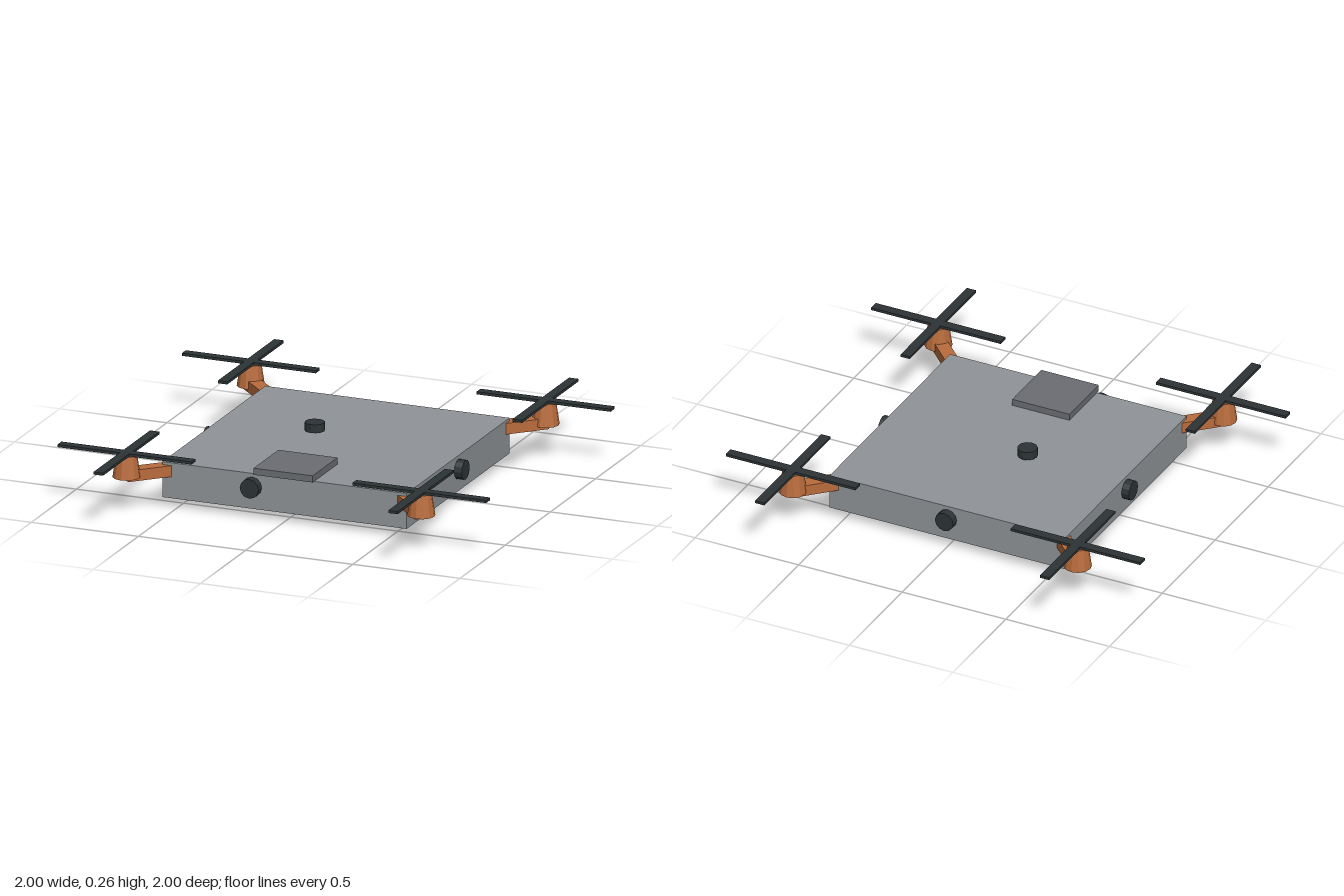
import * as THREE from 'three';

const material = (name, color) => {
  const m = new THREE.MeshStandardMaterial({ color, flatShading: true });
  m.name = name;
  return m;
};

export function createModel() {
  const model = new THREE.Group();
  model.name = 'drone';
  const grey = material('hull grey', 0x909498);
  const darkGrey = material('hatch grey', 0x6b6e73);
  const tan = material('belly tan', 0xa08670);
  const copper = material('copper', 0xb96c3c);
  const black = material('charcoal', 0x2d3436);

  const add = (name, geometry, mat, x, y, z, parent = model) => {
    const mesh = new THREE.Mesh(geometry, mat);
    mesh.name = name;
    mesh.position.set(x, y, z);
    parent.add(mesh);
    return mesh;
  };
  const box = (w, h, d) => new THREE.BoxGeometry(w, h, d);

  // Hull, belly plate and top hatch
  add('hull', box(1.14, 0.16, 1.14), grey, 0, 0.12, 0);
  add('bellyPlate', box(0.91, 0.045, 0.91), tan, 0, 0.0225, 0);
  add('hatch', box(0.276, 0.03, 0.276), darkGrey, 0, 0.215, 0.448);

  // Round sensors: one on each side and one hovering just above the top
  const lens = new THREE.CylinderGeometry(0.044, 0.044, 0.038, 12);
  add('topSensor', lens, black, -0.12, 0.232, -0.05);
  add('frontSensor', lens, black, -0.15, 0.14, 0.586).rotation.x = Math.PI / 2;
  add('backSensor', lens, black, 0, 0.14, -0.586).rotation.x = Math.PI / 2;
  for (const s of [-1, 1]) {
    add(s > 0 ? 'leftSensor' : 'rightSensor', lens, black, s * 0.586, 0.14, 0).rotation.z = Math.PI / 2;
  }

  // Four rotor units, one at each corner
  const arm = box(0.2, 0.05, 0.06);
  const motor = new THREE.CylinderGeometry(0.046, 0.061, 0.1, 12);
  const bladeX = box(0.625, 0.012, 0.044);
  const bladeZ = box(0.044, 0.012, 0.625);
  for (const sx of [-1, 1]) {
    for (const sz of [-1, 1]) {
      const rotor = new THREE.Group();
      rotor.name = (sz > 0 ? 'front' : 'back') + (sx > 0 ? 'Left' : 'Right') + 'Rotor';
      rotor.position.set(sx * 0.6875, 0, sz * 0.6875);
      add('arm', arm, copper, -sx * 0.068, 0.162, -sz * 0.068, rotor).rotation.y = -sx * sz * Math.PI / 4;
      add('motor', motor, copper, 0, 0.203, 0, rotor);
      add('bladeAcross', bladeX, black, 0, 0.259, 0, rotor);
      add('bladeAlong', bladeZ, black, 0, 0.259, 0, rotor);
      model.add(rotor);
    }
  }
  return model;
}
